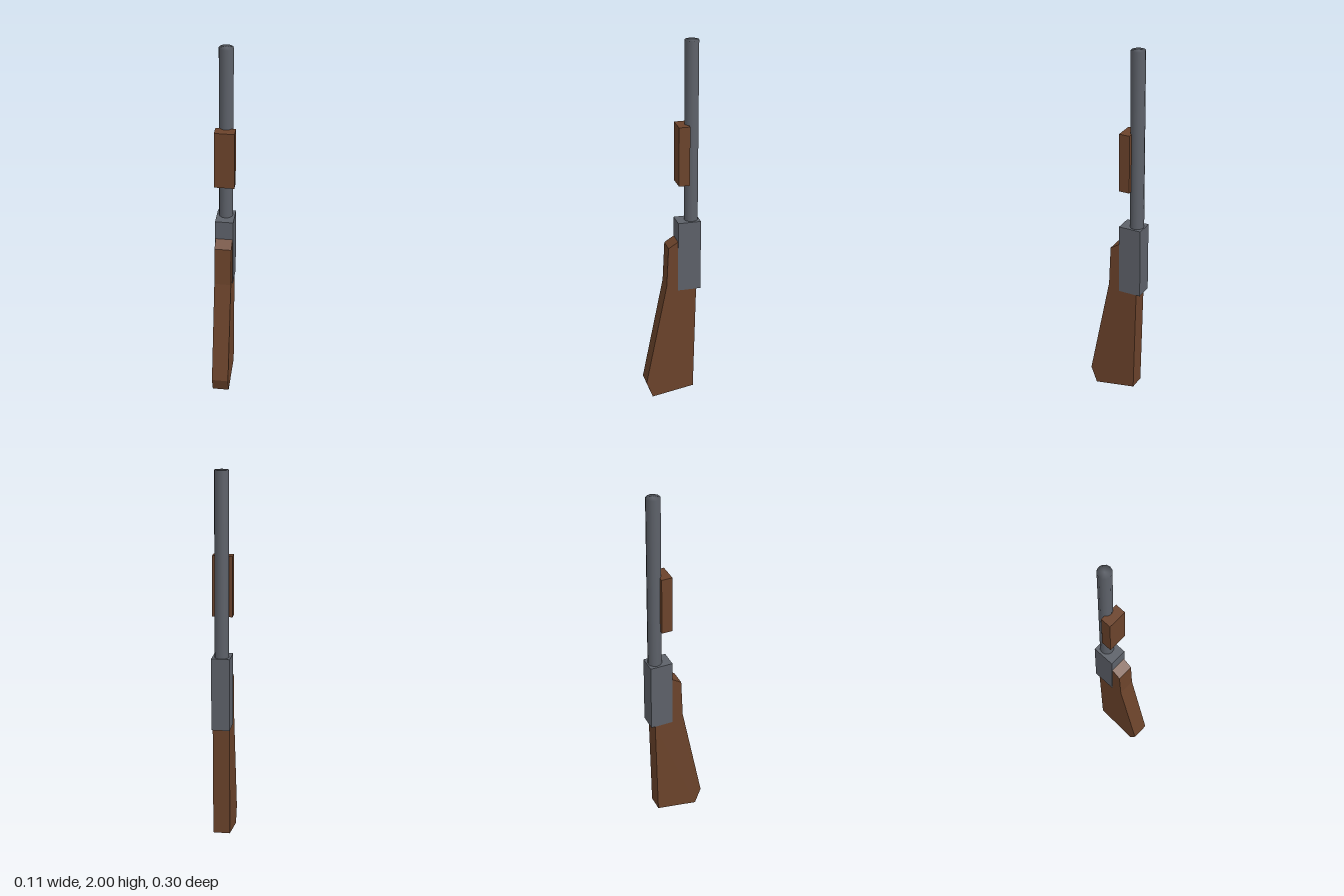
import * as THREE from 'three';
import { mergeVertices } from 'three/addons/utils/BufferGeometryUtils.js';

export function createModel() {
  const group = new THREE.Group();
  const wood = new THREE.MeshStandardMaterial({ color: 0x6b432b });
  const metal = new THREE.MeshStandardMaterial({ color: 0x5d6169 });

  const add = (name, geometry, material, x = 0, y = 0, z = 0) => {
    const mesh = new THREE.Mesh(geometry, material);
    mesh.name = name;
    mesh.position.set(x, y, z);
    group.add(mesh);
  };

  // Box given by its width and its y and z extents
  const addBox = (name, material, width, y0, y1, z0, z1) =>
    add(name, new THREE.BoxGeometry(width, y1 - y0, z1 - z0), material, 0, (y0 + y1) / 2, (z0 + z1) / 2);

  // Barrel: normals shared between side and caps for soft shading
  let tube = new THREE.CylinderGeometry(0.0375, 0.0375, 1, 12);
  tube.deleteAttribute('normal');
  tube.deleteAttribute('uv');
  tube = mergeVertices(tube);
  tube.computeVertexNormals();
  add('barrel', tube, metal, 0, 1.5, -0.108);

  // Receiver block and sliding fore-end
  addBox('receiver', metal, 0.097, 0.64, 1.03, -0.151, -0.027);
  addBox('foreEnd', wood, 0.106, 1.24, 1.56, -0.088, -0.029);

  // Stock: side profile as (z, y), extruded across x; its upper end sits in the receiver
  const profile = [
    [0.116, 0], [0.15, 0.09], [0.035, 0.67], [0.025, 0.89],
    [-0.03, 0.925], [-0.12, 0.925], [-0.128, 0.64], [-0.114, 0.04],
  ].map(([z, y]) => new THREE.Vector2(z, y));
  const stock = new THREE.ExtrudeGeometry(new THREE.Shape(profile), { depth: 0.09, bevelEnabled: false });
  stock.translate(0, 0, -0.045).rotateY(-Math.PI / 2);
  add('stock', stock, wood);

  return group;
}
